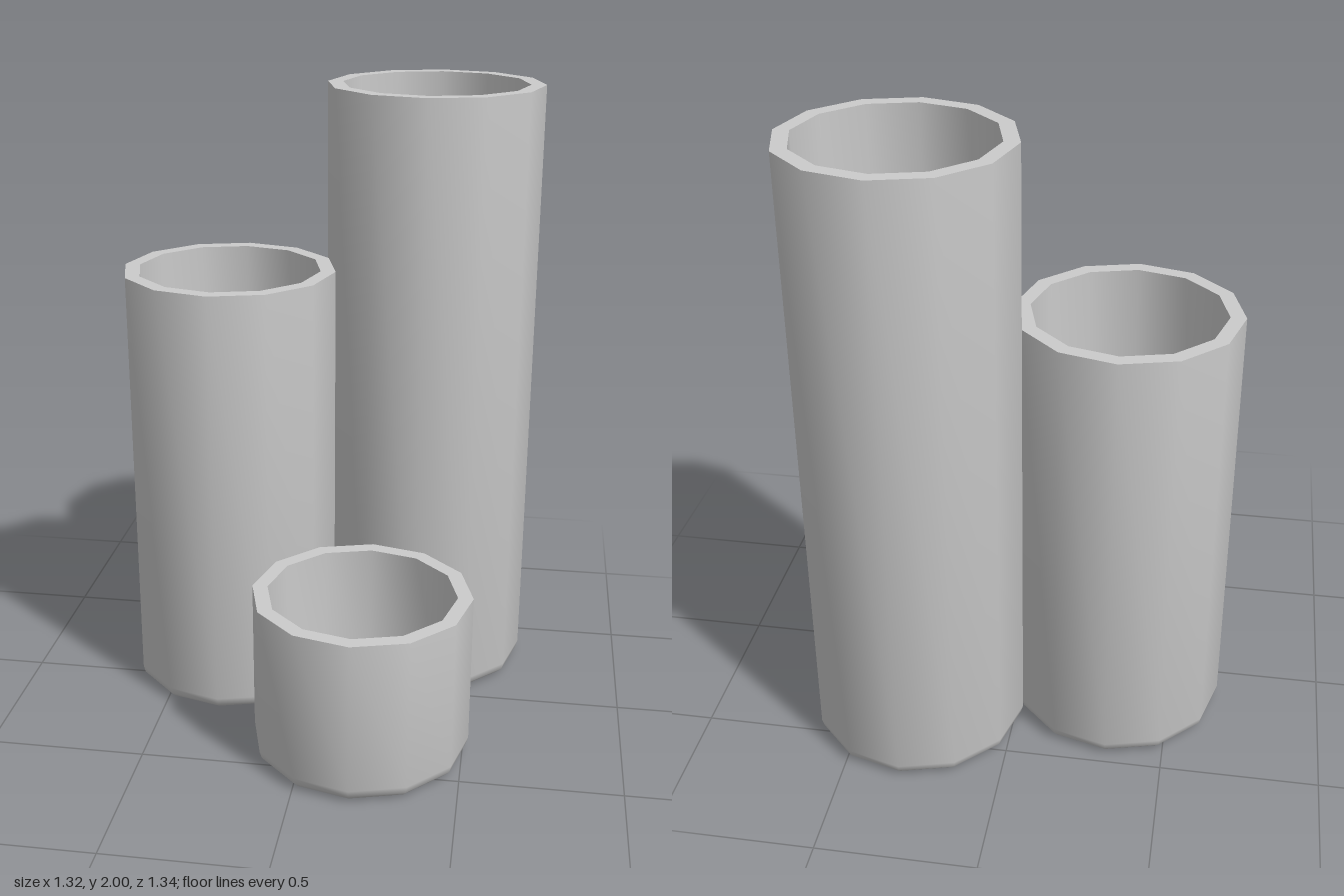
import * as THREE from 'three';
import { toCreasedNormals } from 'three/addons/utils/BufferGeometryUtils.js';

const SIDES = 12;
const OUTER = 0.344;
const INNER = 0.296;
const FLOOR = 0.05;
const BEVEL = 0.045;

// One open cup: rounded bottom edge, straight wall, flat rim, hollow inside
function createCup(name, height, x, z, turn = 0) {
  const profile = [new THREE.Vector2(0, 0)];
  for (let i = 0; i <= 3; i++) {
    const a = (i / 3) * Math.PI / 2;
    profile.push(new THREE.Vector2(
      OUTER - BEVEL + BEVEL * Math.sin(a),
      BEVEL - BEVEL * Math.cos(a)
    ));
  }
  profile.push(
    new THREE.Vector2(OUTER, height),
    new THREE.Vector2(INNER, height),
    new THREE.Vector2(INNER, FLOOR),
    new THREE.Vector2(0, FLOOR)
  );
  // Smooth around the wall, sharp at the rim and inner floor
  const geometry = toCreasedNormals(new THREE.LatheGeometry(profile, SIDES), 0.8);
  const cup = new THREE.Mesh(geometry, new THREE.MeshStandardMaterial({ color: 0xcccccc }));
  cup.name = name;
  cup.position.set(x, 0, z);
  cup.rotation.y = turn;
  return cup;
}

export function createModel() {
  const model = new THREE.Group();
  model.name = 'threeCupHolder';
  model.add(
    createCup('tallCup', 2, 0.316, -0.328),
    createCup('mediumCup', 1.43, -0.318, -0.127),
    createCup('shortCup', 0.535, 0.174, 0.323, 0.012)
  );
  return model;
}
